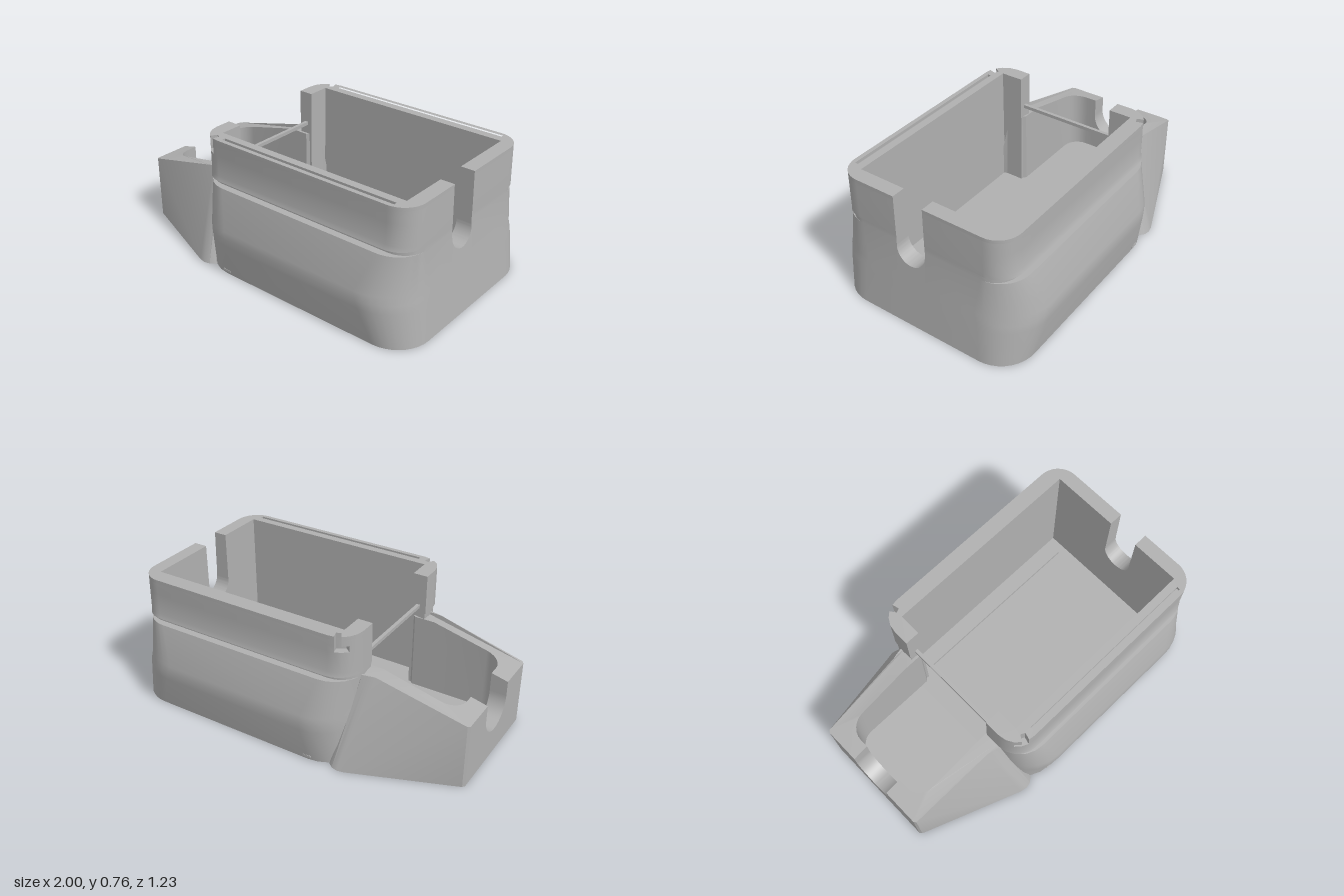
import * as THREE from 'three';
import { toCreasedNormals } from 'three/addons/utils/BufferGeometryUtils.js';

const grey = new THREE.MeshStandardMaterial({ color: 0xb0b0b0 });
grey.name = 'matte grey';

function part(geometry, name) {
  const mesh = new THREE.Mesh(toCreasedNormals(geometry, 0.5), grey);
  mesh.name = name;
  return mesh;
}

function box(name, x0, x1, y0, y1, z0, z1) {
  const g = new THREE.BoxGeometry(x1 - x0, y1 - y0, z1 - z0);
  g.translate((x0 + x1) / 2, (y0 + y1) / 2, (z0 + z1) / 2);
  return part(g, name);
}

// Closed solid through matching rings of [x, y, z] points, capped at both ends
function loft(rings) {
  const pos = [];
  const flat = rings.map(r => r.map(p => new THREE.Vector2(p[0], p[2])));
  const flip = THREE.ShapeUtils.area(flat[0]) < 0;
  const a = new THREE.Vector3(), b = new THREE.Vector3(), c = new THREE.Vector3();
  const tri = (p, q, r, swap) => {
    a.set(...p); b.set(...q).sub(a); c.set(...r).sub(a);
    if (b.cross(c).length() < 1e-8) return;
    pos.push(...p, ...(swap ? r : q), ...(swap ? q : r));
  };
  for (let k = 0; k + 1 < rings.length; k++) {
    const lo = rings[k], hi = rings[k + 1];
    for (let i = 0; i < lo.length; i++) {
      const j = (i + 1) % lo.length;
      tri(lo[j], lo[i], hi[i], flip);
      tri(lo[j], hi[i], hi[j], flip);
    }
  }
  for (const [k, up] of [[0, false], [rings.length - 1, true]]) {
    for (const [i, j, m] of THREE.ShapeUtils.triangulateShape(flat[k].slice(), [])) {
      const f = flat[k];
      const ccw = THREE.ShapeUtils.area([f[i], f[j], f[m]]) > 0;
      tri(rings[k][i], rings[k][j], rings[k][m], ccw === up);
    }
  }
  const g = new THREE.BufferGeometry();
  g.setAttribute('position', new THREE.Float32BufferAttribute(pos, 3));
  return g;
}

const rad = THREE.MathUtils.degToRad;

// Horizontal cross-section of one side wall; notch insets part of the rear corner
function wallSection(side, edge, [y, hz, xp, rp, xm, rm, notch = 0]) {
  const pts = [[xp, edge]];
  for (let t = 0; t <= 90; t += 10) {
    pts.push([xp - rp + rp * Math.cos(rad(t)), hz - rp + rp * Math.sin(rad(t))]);
  }
  [0, 16, 16, 33, 33, 50, 50, 70, 90].forEach((t, i) => {
    const r = rm - (i >= 2 && i < 2 + notch ? 0.04 : 0);
    pts.push([xm + rm - r * Math.sin(rad(t)), hz - rm + r * Math.cos(rad(t))]);
  });
  pts.push([xm, 0.3], [-0.33, 0.3], [-0.33, 0.43], [0.865, 0.43], [0.865, edge]);
  return pts.map(([x, z]) => [x, y, z * side]);
}

// y, half depth, right x, right radius, left x, left radius, notch points
const levels = [
  [0, 0.58, 1, 0.2, -0.4, 0.2],
  [0.2, 0.613, 0.98, 0.25, -0.4, 0.23],
  [0.245, 0.617, 0.9755, 0.26, -0.4, 0.23],
  [0.29, 0.613, 0.971, 0.27, -0.4, 0.23],
  [0.5, 0.545, 0.95, 0.17, -0.41, 0.17],
  [0.5, 0.505, 0.95, 0.13, -0.41, 0.13],
  [0.525, 0.505, 0.95, 0.13, -0.41, 0.13],
  [0.525, 0.53, 0.95, 0.14, -0.415, 0.14],
  [0.55, 0.52, 0.95, 0.13, -0.415, 0.13],
  [0.67, 0.52, 0.947, 0.13, -0.415, 0.13],
  [0.67, 0.52, 0.947, 0.13, -0.415, 0.13, 4],
  [0.705, 0.52, 0.946, 0.13, -0.415, 0.13, 4],
  [0.705, 0.52, 0.946, 0.13, -0.415, 0.13, 2],
  [0.74, 0.52, 0.945, 0.13, -0.415, 0.13, 2]
];

// Rim layer with a long slot sunk into it
function rim(side, edge) {
  const pts = wallSection(side, edge, levels[levels.length - 1])
    .map(p => new THREE.Vector2(p[0], p[2]))
    .filter((p, i, all) => i === 0 || p.distanceTo(all[i - 1]) > 1e-5);
  const shape = new THREE.Shape(pts);
  const slot = [[-0.27, 0.475], [0.84, 0.475], [0.84, 0.495], [-0.27, 0.495]];
  shape.holes.push(new THREE.Path(slot.map(([x, z]) => new THREE.Vector2(x, z * side))));
  const g = new THREE.ExtrudeGeometry(shape, { depth: 0.02, bevelEnabled: false });
  g.rotateX(Math.PI / 2);
  g.translate(0, 0.76, 0);
  return g;
}

// Wall piece under a round-bottomed cable notch, running from xIn to xOut(y)
function sill(z0, z1, cy, xA, xB) {
  const r = (z1 - z0) / 2;
  const shape = new THREE.Shape();
  shape.moveTo(-z1, 0);
  shape.lineTo(-z0, 0);
  shape.lineTo(-z0, cy);
  shape.absarc(-(z0 + z1) / 2, cy, r, 0, -Math.PI, true);
  shape.lineTo(-z1, 0);
  const g = new THREE.ExtrudeGeometry(shape, { depth: 1, bevelEnabled: false, curveSegments: 20 });
  g.rotateY(Math.PI / 2);
  const p = g.attributes.position;
  for (let i = 0; i < p.count; i++) {
    p.setX(i, p.getX(i) > 0.5 ? xB(p.getY(i)) : xA);
  }
  return g;
}

// Half of the flared tail: floor outline and rim outline paired point by point
function tailHalf(side, edge) {
  const topY = x => Math.min(0.5, 0.375 + 0.24 * (x + 1));
  const outer = [
    [-1, edge, -1, edge], [-1, 0.34, -1, 0.34], [-0.99, 0.354, -0.99, 0.354],
    [-0.42, 0.575, -0.48, 0.375], [-0.38, 0.583, -0.44, 0.385], [-0.345, 0.575, -0.41, 0.39],
    [-0.315, 0.55, -0.36, 0.39], [-0.3, 0.48, -0.34, 0.38]
  ];
  const inner = [[-0.335, 0.4], [-0.335, 0.31], [-0.36, 0.285], [-0.48, 0.285]];
  for (let t = 0; t <= 90; t += 15) {
    inner.push([-0.805 - 0.1 * Math.sin(rad(t)), 0.185 + 0.1 * Math.cos(rad(t))]);
  }
  inner.push([-0.905, edge]);
  const all = outer.concat(inner.map(([x, z]) => [x, z, x, z]));
  return loft([
    all.map(p => [p[0], 0, p[1] * side]),
    all.map(p => [p[2], topY(p[2]), p[3] * side])
  ]);
}

export function createModel() {
  const model = new THREE.Group();
  model.name = 'openEnclosure';

  for (const [side, label, bodyEdge, tailEdge] of [[1, 'front', 0.147, 0.125], [-1, 'back', 0.035, 0.135]]) {
    // Main compartment walls and slotted rim
    model.add(part(loft(levels.map(l => wallSection(side, bodyEdge, l))), label + 'Wall'));
    model.add(part(rim(side, bodyEdge), label + 'Rim'));
    // Flared tail compartment
    model.add(part(tailHalf(side, tailEdge), label + 'TailWall'));
    // Small tab near the base
    const z = side * 0.582;
    model.add(box(label + 'BaseTab', -0.22, -0.17, 0.015, 0.027, z - 0.004, z + 0.004));
  }

  // Wall pieces below the cable notches
  model.add(part(sill(-0.035, 0.147, 0.466, 0.865, y => 1 - 0.1 * y), 'endNotchSill'));
  model.add(part(sill(-0.135, 0.125, 0.285, -1, () => -0.905), 'tailNotchSill'));

  // Floors, floor rib and cross bar
  model.add(box('mainFloor', -0.4, 0.87, 0, 0.05, -0.435, 0.435));
  model.add(box('tailFloor', -0.91, -0.4, 0, 0.05, -0.29, 0.29));
  model.add(box('floorRib', -0.285, 0.81, 0.05, 0.07, -0.355, -0.33));
  model.add(box('crossBar', -0.378, -0.358, 0.555, 0.575, -0.3, 0.3));
  return model;
}
